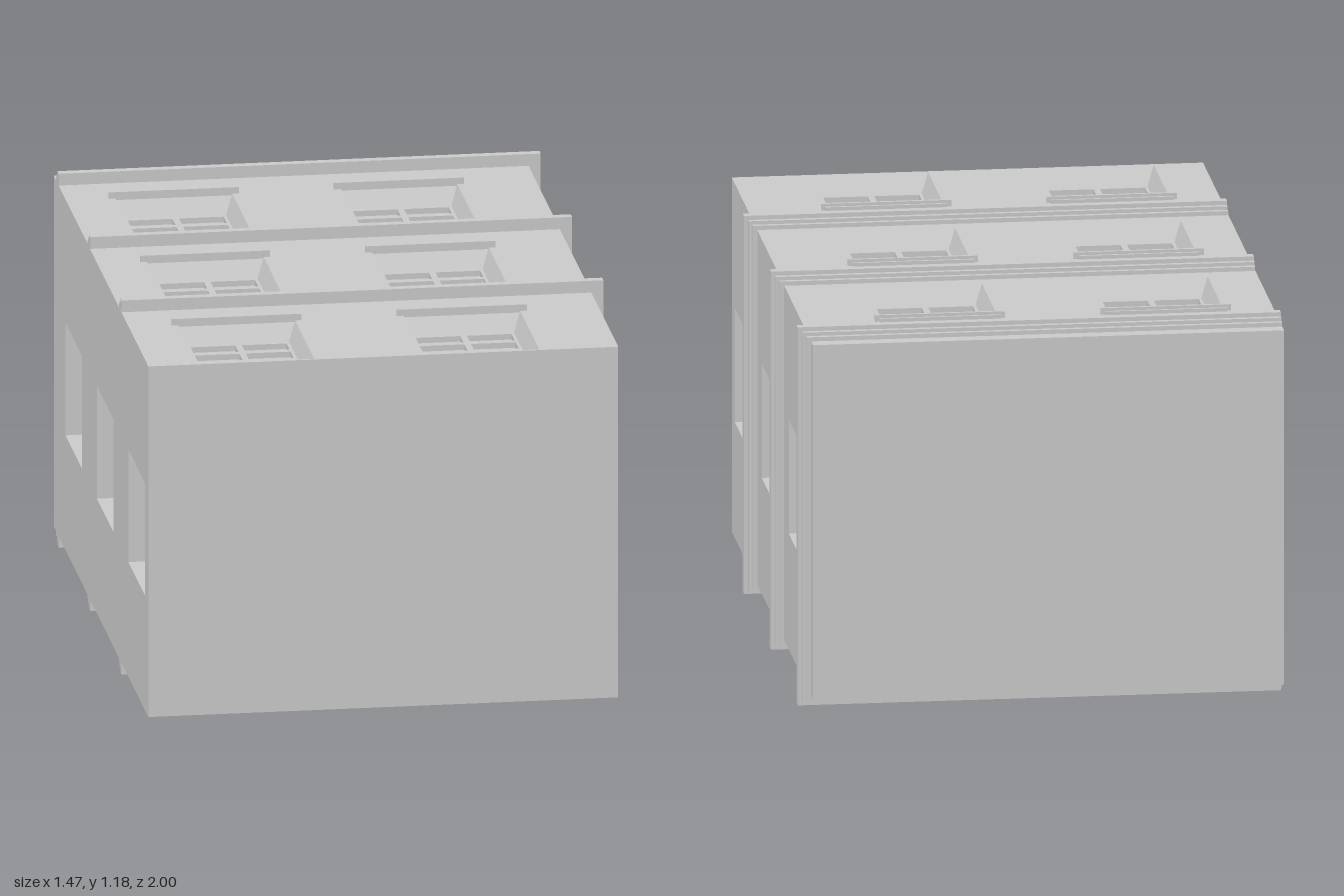
import * as THREE from 'three';

const X0 = -0.737, X1 = 0.697, Y0 = 0.038, Y1 = 1.145; // wall faces
const STOREY = 0.664;
const storeys = [0, 1, 2];
const mat = new THREE.MeshStandardMaterial({ color: 0xcccccc, flatShading: true });

function add(parent, name, geometry, x = 0, y = 0, z = 0) {
  const m = new THREE.Mesh(geometry, mat);
  m.name = name;
  m.position.set(x, y, z);
  parent.add(m);
  return m;
}

// Rectangle corners, counter-clockwise, from centre and half sizes
function rect(cx, cy, hw, hh) {
  return [[-1, -1], [1, -1], [1, 1], [-1, 1]].map(([a, b]) => new THREE.Vector2(cx + a * hw, cy + b * hh));
}

function holedShape(outer, holes) {
  const s = new THREE.Shape(outer);
  holes.forEach(h => s.holes.push(new THREE.Path(h.slice().reverse())));
  return s;
}

// Four inward-facing sides of an opening, tapering from outer to inner
function reveal(outer, inner, depth) {
  const p = [];
  for (let i = 0; i < 4; i++) {
    const j = (i + 1) % 4;
    const a = [outer[i].x, outer[i].y, 0], b = [outer[j].x, outer[j].y, 0];
    const c = [inner[j].x, inner[j].y, -depth], d = [inner[i].x, inner[i].y, -depth];
    p.push(...a, ...b, ...c, ...a, ...c, ...d);
  }
  const g = new THREE.BufferGeometry();
  g.setAttribute('position', new THREE.Float32BufferAttribute(p, 3));
  g.computeVertexNormals();
  return g;
}

// Window centred on its opening, facing +z
function makeWindow() {
  const g = new THREE.Group();
  g.name = 'window';
  const HW = 0.178, HH = 0.202, IW = 0.156, IH = 0.177, depth = 0.06;
  add(g, 'windowReveal', reveal(rect(0, 0, HW, HH), rect(0, 0, IW, IH), depth));
  const panes = [];
  for (const x of [-0.078, 0.078])
    for (let r = 0; r < 4; r++) panes.push(rect(x, (r - 1.5) * 0.0865, 0.068, 0.033));
  const sash = new THREE.ExtrudeGeometry(holedShape(rect(0, 0, IW, IH), panes), { depth: 0.018, bevelEnabled: false });
  add(g, 'windowSash', sash, 0, 0, -depth - 0.018);
  add(g, 'windowPanes', new THREE.PlaneGeometry(IW * 2, IH * 2), 0, 0, -depth - 0.0175);
  // two-step head moulding
  add(g, 'windowHeadLower', new THREE.BoxGeometry(0.396, 0.01, 0.03), 0, HH + 0.003, 0.005);
  add(g, 'windowHeadUpper', new THREE.BoxGeometry(0.37, 0.008, 0.02), 0, HH + 0.012, 0.001);
  return g;
}

// Wall with two windows per storey; side = 1 faces +y, -1 faces -y
function facade(side) {
  const g = new THREE.Group();
  g.name = side > 0 ? 'upperFacade' : 'lowerFacade';
  const holes = [];
  for (const s of storeys)
    for (const x of [-0.408, 0.279]) {
      const cy = -0.79 + s * STOREY;
      holes.push(rect(x * side, cy, 0.178, 0.202));
      const w = makeWindow();
      w.position.set(x * side, cy, 0);
      g.add(w);
    }
  const wall = rect(side * (X0 + X1) / 2, 0, (X1 - X0) / 2, 1);
  add(g, 'facadeWall', new THREE.ShapeGeometry(holedShape(wall, holes)));
  const turn = new THREE.Group();
  turn.add(g);
  g.rotation.x = -Math.PI / 2;
  turn.rotation.z = side > 0 ? 0 : Math.PI;
  turn.position.y = side > 0 ? Y1 : Y0;
  return turn;
}

// End wall with one deep square opening per storey; side = 1 faces +x
function sideWall(side) {
  const g = new THREE.Group();
  g.name = side > 0 ? 'leftWall' : 'rightWall';
  const depth = 0.5, mid = (Y0 + Y1) / 2;
  const holes = storeys.map(s => rect(side * (-0.751 + s * STOREY), 0.578 - mid, 0.174, 0.178));
  const wall = rect(0, 0, 1, (Y1 - Y0) / 2);
  add(g, 'wallSurface', new THREE.ShapeGeometry(holedShape(wall, holes)));
  for (const h of holes) {
    add(g, 'openingSides', reveal(h, h, depth));
    add(g, 'openingBack', new THREE.ShapeGeometry(new THREE.Shape(h)), 0, 0, -depth);
  }
  g.rotation.y = side * Math.PI / 2;
  g.position.set(side > 0 ? X1 : X0, mid, 0);
  return g;
}

export function createModel() {
  const model = new THREE.Group();
  model.name = 'building';
  model.add(facade(1), facade(-1), sideWall(1), sideWall(-1));

  // plain roof and base faces
  const xc = (X0 + X1) / 2, yc = (Y0 + Y1) / 2;
  const end = new THREE.PlaneGeometry(X1 - X0, Y1 - Y0);
  add(model, 'base', end, xc, yc, 1);
  add(model, 'roof', end, xc, yc, -1).rotation.y = Math.PI;

  // stepped cornice above every storey, flush at the right wall
  const steps = [[0.404, 0.432, 0.037], [0.388, 0.404, 0.024], [0.373, 0.388, 0.013]];
  for (const s of storeys)
    for (const [z0, z1, out] of steps) {
      const a = X0 + 0.0005, b = X1 + out;
      add(model, 'cornice', new THREE.BoxGeometry(b - a, Y1 - Y0 + 2 * out, z1 - z0),
        (a + b) / 2, yc, (z0 + z1) / 2 - s * STOREY);
    }
  return model;
}
